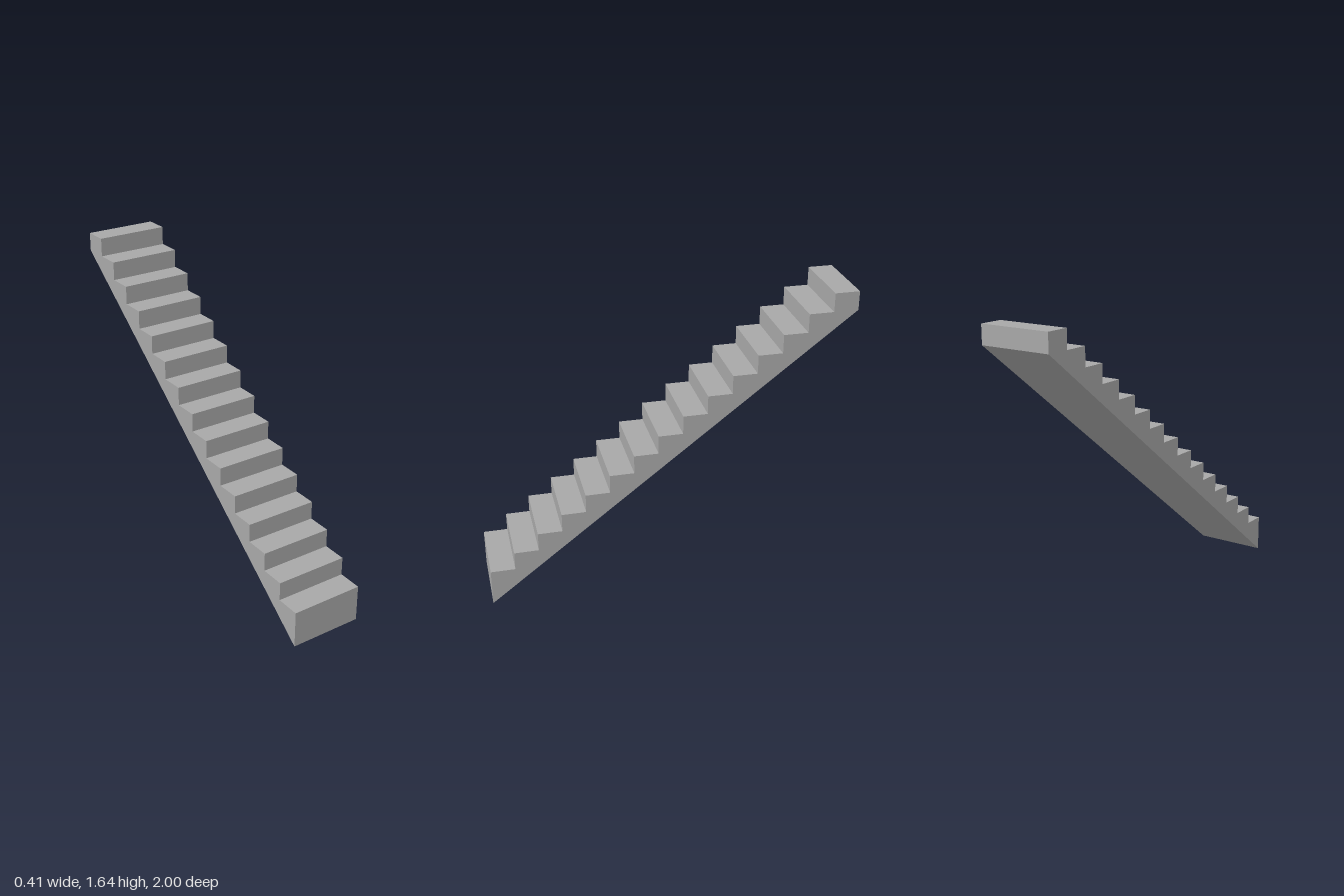
import * as THREE from 'three';

const STEPS = 15;
const WIDTH = 0.405;
const TREAD = 2 / STEPS;
const RISE = 0.1027;

export function createModel() {
  const group = new THREE.Group();
  group.name = 'staircase';
  const concrete = new THREE.MeshStandardMaterial({ color: 0xa8a8a8 });
  concrete.name = 'concrete grey';

  // Side profile: sloped underside, upright back edge, then the stepped top
  const profile = new THREE.Shape();
  profile.moveTo(-1, 0);
  profile.lineTo(1, STEPS * RISE);
  for (let i = STEPS - 1; i >= 0; i--) {
    const y = (i + 2) * RISE;
    profile.lineTo(-1 + (i + 1) * TREAD, y);
    profile.lineTo(-1 + i * TREAD, y);
  }
  profile.closePath();

  // Extrude across the width; the flight climbs from +z to -z
  const geometry = new THREE.ExtrudeGeometry(profile, { depth: WIDTH, bevelEnabled: false });
  geometry.translate(0, 0, -WIDTH / 2);
  geometry.rotateY(Math.PI / 2);

  const flight = new THREE.Mesh(geometry, concrete);
  flight.name = 'stairFlight';
  group.add(flight);
  return group;
}
